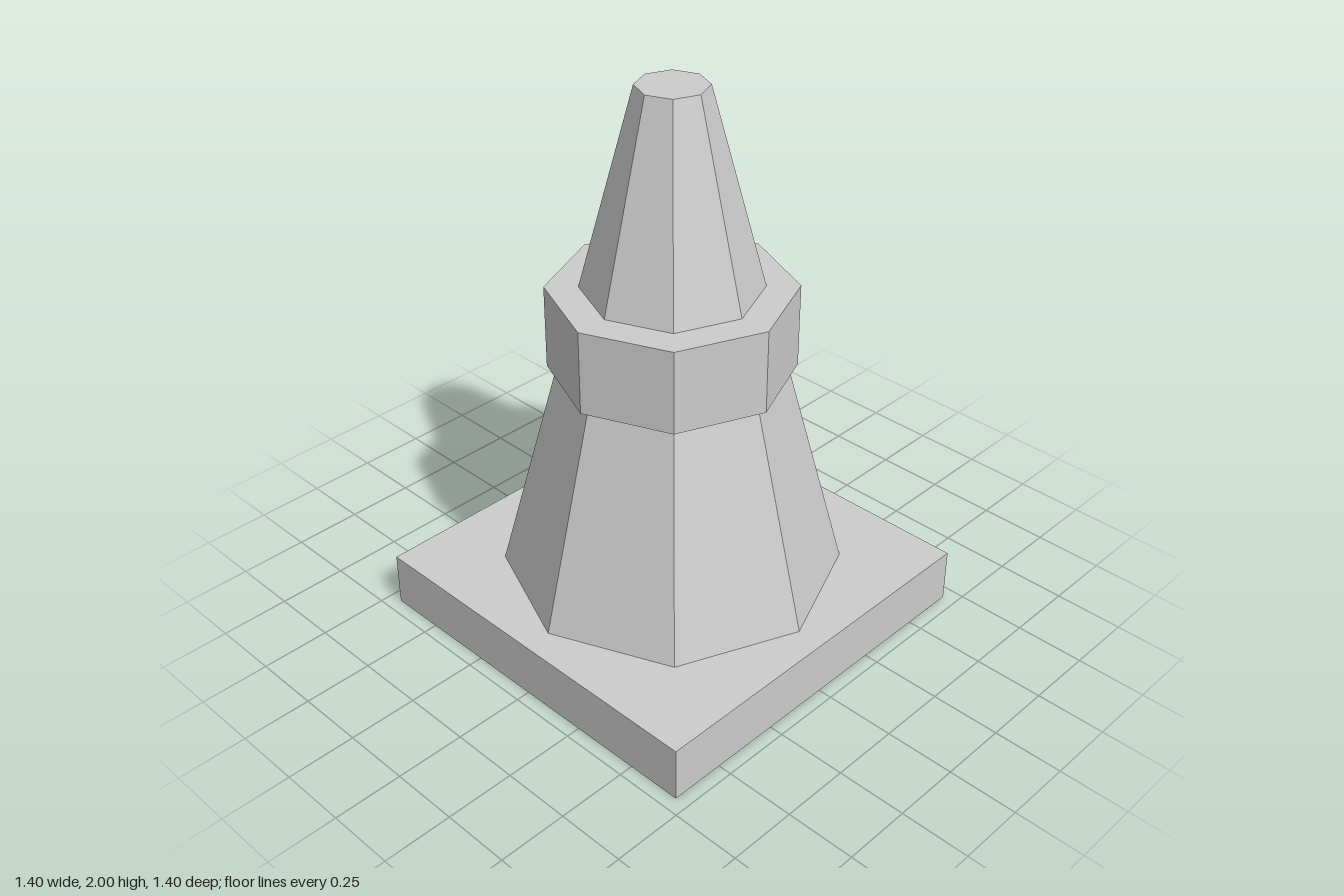
import * as THREE from 'three';

export function createModel() {
  const model = new THREE.Group();
  const grey = new THREE.MeshStandardMaterial({ color: 0xcccccc, flatShading: true });
  grey.name = 'light grey';

  // Adds a part whose underside sits at height y
  const add = (name, geometry, height, y) => {
    const mesh = new THREE.Mesh(geometry, grey);
    mesh.name = name;
    mesh.position.y = y + height / 2;
    model.add(mesh);
  };

  // Square foot
  add('base', new THREE.BoxGeometry(1.4, 0.2, 1.4), 0.2, 0);
  // Eight-sided tapering body with a flat tip
  add('cone', new THREE.CylinderGeometry(0.12, 0.6, 1.8, 8), 1.8, 0.2);
  // Eight-sided band around the body
  add('collar', new THREE.CylinderGeometry(0.42, 0.42, 0.3, 8), 0.3, 1.0);

  return model;
}
